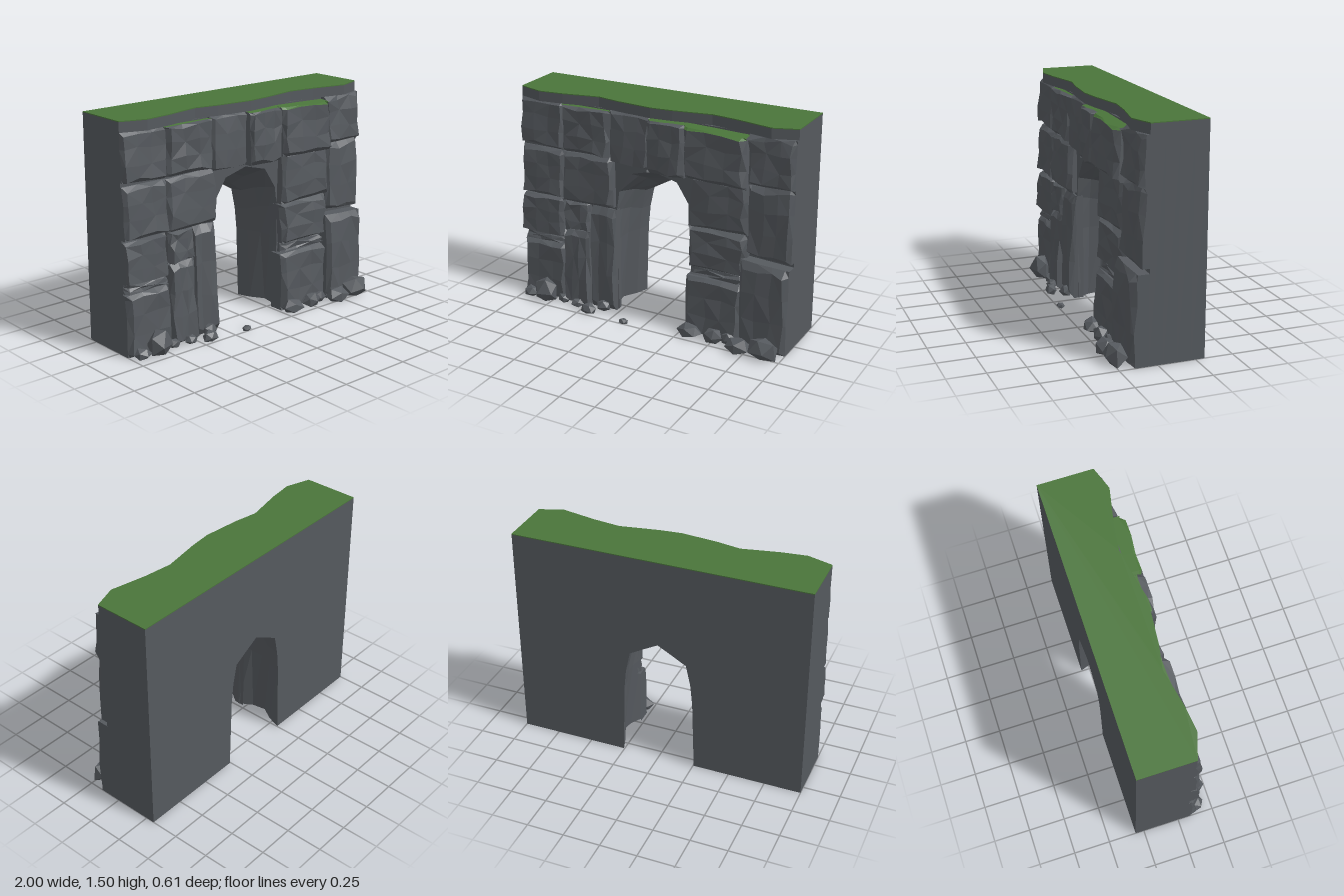
import * as THREE from 'three';

const rock = new THREE.MeshStandardMaterial({ color: 0x55595e });
rock.name = 'grey rock';
rock.flatShading = true;
const grass = new THREE.MeshStandardMaterial({ color: 0x4a753a });
grass.name = 'green grass';
grass.flatShading = true;

let seed = 7;
function rand(amount) {
  seed = (seed * 16807) % 2147483647;
  return (seed / 2147483647 - 0.5) * 2 * amount;
}

function shapeFrom(points) {
  return new THREE.Shape(points.map(([x, y]) => new THREE.Vector2(x, y)));
}

// Wall core: the doorway is small at the back, flares to the front and is hollowed at the jambs
function wallCore() {
  const back = [[0.255, 0], [0.24, 0.5], [0.225, 0.65], [0.195, 0.79], [0.1, 0.845], [0, 0.9]];
  const front = [[0.27, 0], [0.28, 0.5], [0.28, 0.73], [0.26, 0.87], [0.17, 1.01], [0, 1.055]];
  const arch = [...back.map(([x, y]) => [-x, y]), ...back.slice(0, -1).reverse()];
  const outline = [[-1, 0], ...arch, [1, 0], [1, 1.43], [-1, 1.43]];
  const geo = new THREE.ExtrudeGeometry(shapeFrom(outline), { depth: 0.37, steps: 4, bevelEnabled: false });
  const flare = [0, 0.1, 0.5, 0.75, 1];
  const hollow = [0, 0.03, 0.08, 0.06, 0];
  const pos = geo.attributes.position;
  for (let i = 0; i < pos.count; i++) {
    const px = pos.getX(i), py = pos.getY(i);
    const k = back.findIndex(([x, y]) => Math.abs(x - Math.abs(px)) + Math.abs(y - py) < 1e-4);
    if (k < 0) continue;
    const ring = Math.round(pos.getZ(i) / 0.0925);
    const x = THREE.MathUtils.lerp(back[k][0], front[k][0], flare[ring]) + hollow[ring] * (1 - py);
    if (k < back.length - 1) pos.setX(i, Math.sign(px) * x);
    pos.setY(i, THREE.MathUtils.lerp(back[k][1], front[k][1], flare[ring]));
  }
  geo.translate(0, 0, -0.31);
  geo.computeVertexNormals();
  return new THREE.Mesh(geo, rock);
}

// Rough facing stone with bevelled rim, uneven corners and mossRows of grass at the top
function facingStone(x0, x1, y0, y1, depth, mossRows = 0) {
  const steps = [0, 0, 0.06, 0.36, 0.66, 0.93, 1, 1];
  const n = steps.length;
  const skew = Math.min(0.014, (y1 - y0) * 0.15);
  const [bl, br, tr, tl] = [[x0, y0], [x1, y0], [x1, y1], [x0, y1]].map(
    ([x, y]) => new THREE.Vector2(x + rand(0.01), y > 0 ? Math.min(1.43, y + rand(skew)) : 0));
  const verts = [], rockFaces = [], grassFaces = [];
  for (let j = 0; j < n; j++) {
    for (let i = 0; i < n; i++) {
      const level = Math.min(i, j, n - 1 - i, n - 1 - j);
      const u = steps[i], v = steps[j];
      const p = bl.clone().lerp(br, u).lerp(tl.clone().lerp(tr, u), v);
      let z = 0.02;
      if (level > 0) z = depth - 0.015 * v + rand(0.01);
      if (level === 1) z -= 0.03;
      if (level > 1) p.add(new THREE.Vector2(rand(0.014), rand(skew)));
      // Mossy tops slope down to the front
      if (mossRows && j === n - 2 && level === 1) p.y -= 0.01;
      // Outer stones end flush with the wall sides
      if (x0 === -1 && u === 0) p.x = -1;
      if (x1 === 1 && u === 1) p.x = 1;
      verts.push(THREE.MathUtils.clamp(p.x, -1, 1), Math.max(p.y, 0), z);
    }
  }
  for (let j = 0; j < n - 1; j++) {
    for (let i = 0; i < n - 1; i++) {
      if ((i === 0 || i === n - 2) && (j === 0 || j === n - 2)) continue;
      const a = j * n + i, b = a + 1, c = b + n, d = a + n;
      const faces = j >= n - 1 - mossRows && i > 0 && i < n - 2 ? grassFaces : rockFaces;
      if ((i + j) % 2) faces.push(a, b, c, a, c, d);
      else faces.push(a, b, d, b, c, d);
    }
  }
  let geo = new THREE.BufferGeometry();
  geo.setAttribute('position', new THREE.Float32BufferAttribute(verts, 3));
  geo.setIndex([...rockFaces, ...grassFaces]);
  geo.addGroup(0, rockFaces.length, 0);
  if (mossRows) geo.addGroup(rockFaces.length, grassFaces.length, 1);
  geo = geo.toNonIndexed();
  geo.computeVertexNormals();
  return new THREE.Mesh(geo, [rock, grass]);
}

// Horizontal slab with the wavy front edge of the wall top
function topSlab(y, height, material) {
  const edge = [[-1, 0.065], [-0.83, 0.12], [-0.66, 0.1], [-0.41, 0.05], [-0.25, 0.08], [0, 0.105],
    [0.15, 0.09], [0.41, 0.045], [0.6, 0.07], [0.84, 0.12], [1, 0.065]];
  const points = [...edge.map(([x, z]) => [x, -z]), [1, 0.31], [-1, 0.31]];
  const geo = new THREE.ExtrudeGeometry(shapeFrom(points), { depth: height, bevelEnabled: false });
  geo.rotateX(-Math.PI / 2).translate(0, y, 0);
  return new THREE.Mesh(geo, material);
}

// Loose boulder with a flat underside
function boulder(x, z, width, height) {
  const geo = new THREE.IcosahedronGeometry(1, 0);
  const pos = geo.attributes.position;
  const turn = rand(3);
  geo.rotateY(turn).rotateZ(rand(0.2));
  for (let i = 0; i < pos.count; i++) {
    // Same bump for coincident corners keeps the rock closed
    const bump = 1 + 0.12 * Math.sin(pos.getX(i) * 5 + pos.getZ(i) * 7 + turn);
    pos.setXYZ(i, x + pos.getX(i) * width * bump / 2,
      Math.max(0, height * (0.35 + 0.65 * pos.getY(i) * bump)),
      z + pos.getZ(i) * width * 0.37 * bump);
  }
  geo.computeVertexNormals();
  return new THREE.Mesh(geo, rock);
}

export function createModel() {
  const model = new THREE.Group();
  const add = (name, mesh) => {
    mesh.name = name;
    model.add(mesh);
  };

  add('wallCore', wallCore());
  add('topLedge', topSlab(1.43, 0.065, rock));
  add('grassTop', topSlab(1.495, 0.006, grass));

  // Courses of facing stones: y range, then x range, depth and moss rows of each stone
  const course = (y0, y1, stones) => stones.forEach(
    ([x0, x1, depth, moss]) => add('facingStone', facingStone(x0, x1, y0, y1, depth, moss)));
  course(1.11, 1.43, [[-1, -0.67, 0.11], [-0.67, -0.31, 0.125, 1], [0.685, 1, 0.13]]);
  course(1.08, 1.43, [[-0.31, -0.01, 0.11], [-0.01, 0.25, 0.16, 1], [0.255, 0.685, 0.17, 2]]);
  course(0.75, 1.1, [[-1, -0.675, 0.12], [-0.675, -0.29, 0.125], [0.28, 0.695, 0.14]]);
  course(0.63, 1.11, [[0.695, 1, 0.135]]);
  course(0.47, 0.75, [[-1, -0.675, 0.125], [0.285, 0.69, 0.135]]);
  course(0.54, 0.75, [[-0.675, -0.465, 0.125]]);
  course(0.41, 0.475, [[-1, -0.675, 0.105], [0.285, 0.67, 0.115]]);
  course(0, 0.41, [[-1, -0.665, 0.13], [0.28, 0.67, 0.155]]);
  course(0, 0.55, [[-0.67, -0.465, 0.14]]);
  course(0, 0.74, [[-0.465, -0.285, 0.115]]);
  course(0, 0.6, [[0.675, 1, 0.185]]);

  // Rubble along the foot of the wall: x, z, width, height
  const rubble = [
    [-0.93, 0.155, 0.13, 0.07], [-0.8, 0.165, 0.2, 0.18], [-0.67, 0.14, 0.1, 0.06],
    [-0.55, 0.16, 0.1, 0.06], [-0.43, 0.21, 0.11, 0.07], [-0.36, 0.12, 0.12, 0.08],
    [-0.14, 0.235, 0.07, 0.035], [0.33, 0.18, 0.17, 0.09], [0.5, 0.185, 0.14, 0.1],
    [0.6, 0.16, 0.1, 0.08], [0.7, 0.23, 0.19, 0.1], [0.88, 0.23, 0.2, 0.15],
  ];
  for (const stone of rubble) add('boulder', boulder(...stone));
  return model;
}
